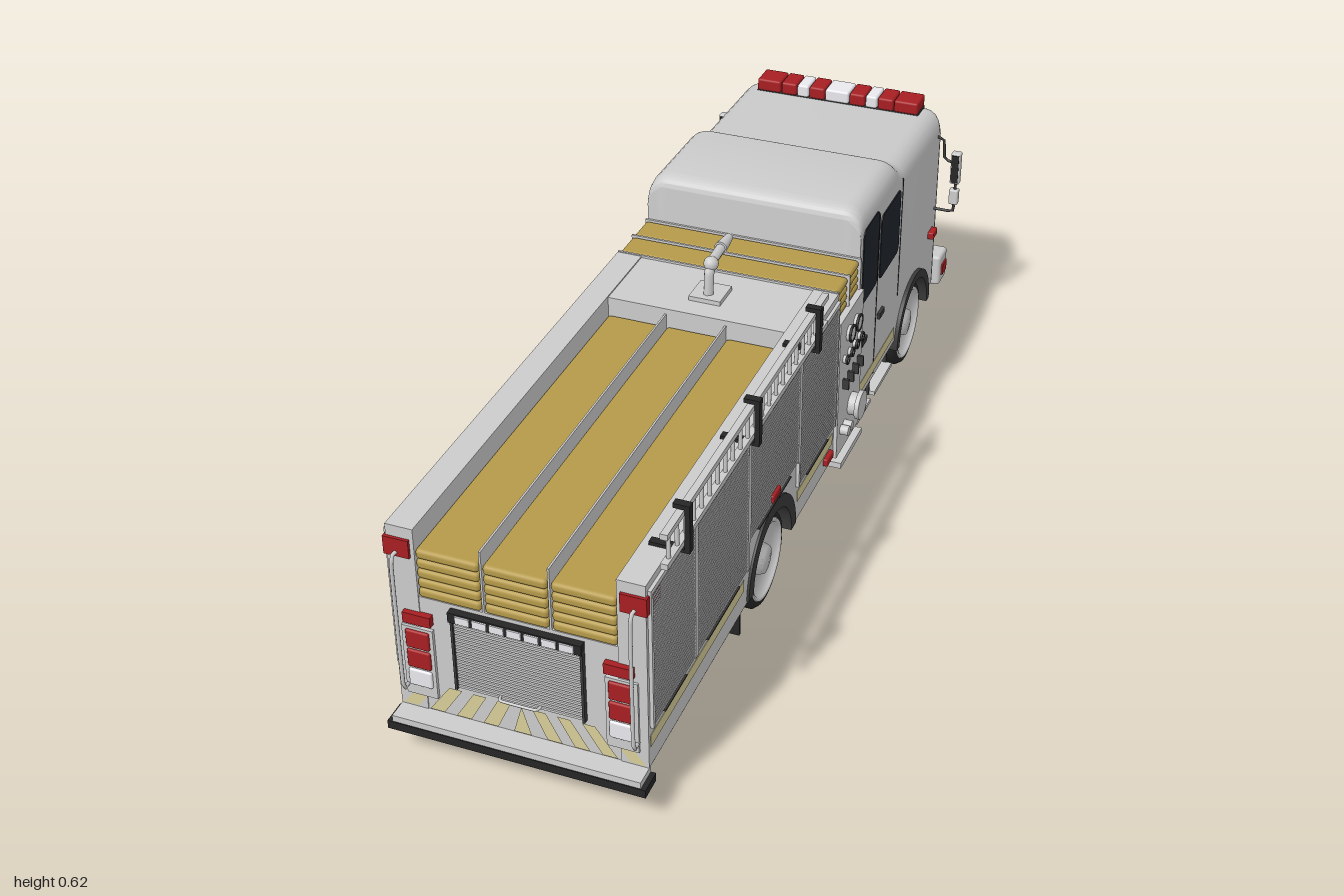
import * as THREE from 'three';
import { toCreasedNormals } from 'three/addons/utils/BufferGeometryUtils.js';
import { RoundedBoxGeometry } from 'three/addons/geometries/RoundedBoxGeometry.js';

const GREY = 0xcccccc, BLACK = 0x262626, DARK = 0x3a3a3a, GLASS = 0x20242a;
const RED = 0xa81e22, HOSE = 0xb59a4a, STRIPE = 0xd8cd98, WHITE = 0xe8e8ee;
const REAR_AXLE = 0.31, FRONT_AXLE = -0.69, AXLE_Y = 0.105;

export function createModel() {
  const root = new THREE.Group();
  const mats = {};
  const mat = (c, open) => (mats[c + !!open] ??= new THREE.MeshStandardMaterial({
    color: c, side: open ? THREE.DoubleSide : THREE.FrontSide }));
  const add = (name, geo, color, x = 0, y = 0, z = 0, open = false) => {
    const m = new THREE.Mesh(geo, mat(color, open));
    m.name = name;
    m.position.set(x, y, z);
    root.add(m);
    return m;
  };
  // Boxes are given by their limits on each axis, in either order
  const box = (name, c, xa, xb, ya, yb, za, zb, r = 0) => {
    const s = [Math.abs(xb - xa), Math.abs(yb - ya), Math.abs(zb - za)];
    const g = r ? new RoundedBoxGeometry(...s, 2, r) : new THREE.BoxGeometry(...s);
    return add(name, g, c, (xa + xb) / 2, (ya + yb) / 2, (za + zb) / 2);
  };
  const cyl = (name, c, axis, r, len, x, y, z, r2 = r) => {
    const g = new THREE.CylinderGeometry(r2, r, len, 20);
    if (axis === 'x') g.rotateZ(-Math.PI / 2);
    if (axis === 'z') g.rotateX(Math.PI / 2);
    return add(name, g, c, x, y, z);
  };
  const tube = (name, c, r, ...pts) => add(name, new THREE.TubeGeometry(new THREE.CatmullRomCurve3(
    pts.map(p => new THREE.Vector3(...p)), false, 'catmullrom', 0.2), 20, r, 8), c);
  const poly = pts => new THREE.Shape(pts.map(p => new THREE.Vector2(...p)));
  // Extrudes a (z, y) outline across the truck from x0 to x1
  const across = (shape, x0, x1, steps = 1) => new THREE.ExtrudeGeometry(shape,
    { depth: x1 - x0, bevelEnabled: false, steps, curveSegments: 24 })
    .rotateY(-Math.PI / 2).translate(x1, 0, 0);
  const roundRect = (a0, a1, y0, y1, r) => {
    const s = new THREE.Shape();
    s.absarc(a1 - r, y0 + r, r, -Math.PI / 2, 0);
    s.absarc(a1 - r, y1 - r, r, 0, Math.PI / 2);
    s.absarc(a0 + r, y1 - r, r, Math.PI / 2, Math.PI);
    s.absarc(a0 + r, y0 + r, r, Math.PI, Math.PI * 1.5);
    return s;
  };
  // Slatted roller door facing +z, bottom edge on its origin
  const shutter = (w, h) => {
    const n = Math.round(h / 0.0085), p = h / n, d = 0.004, pts = [[-0.004, 0]];
    for (let i = 0; i < n; i++) pts.push([0, i * p], [d, (i + 0.2) * p], [d, (i + 0.8) * p]);
    pts.push([0, h], [-0.004, h]);
    return across(poly(pts), -w / 2, w / 2);
  };

  // Cab: side outline across the width, with roof and front corners rounded by rule
  const cab = poly([[-0.25, 0.13], [-0.25, 0.595]]);
  cab.quadraticCurveTo(-0.25, 0.623, -0.285, 0.625);
  cab.lineTo(-0.49, 0.623);
  cab.bezierCurveTo(-0.53, 0.622, -0.535, 0.588, -0.58, 0.587);
  cab.lineTo(-0.86, 0.582);
  cab.quadraticCurveTo(-0.908, 0.58, -0.915, 0.545);
  cab.lineTo(-0.915, 0.12);
  cab.lineTo(-0.82, 0.12);
  cab.absarc(FRONT_AXLE, AXLE_Y, 0.13, Math.PI, 0, true);
  cab.lineTo(-0.56, 0.13);
  const H = 0.246, R = 0.045, cabGeo = across(cab, -1, 1, 12), p = cabGeo.attributes.position;
  for (let i = 0; i < p.count; i++) {
    const j = Math.round(Math.abs(p.getX(i)) * 6), a = Math.max(0, j - 1) / 5 * Math.PI / 2;
    const inset = R * (1 - Math.cos(a));
    p.setX(i, j ? Math.sign(p.getX(i)) * (H - R + R * Math.sin(a)) : 0);
    if (p.getZ(i) < -0.86) p.setZ(i, p.getZ(i) + inset * Math.min(1, (-0.86 - p.getZ(i)) / 0.045));
    if (p.getY(i) > 0.5) p.setY(i, p.getY(i) - inset * Math.min(1, (p.getY(i) - 0.5) / 0.06));
  }
  add('cab', toCreasedNormals(cabGeo, 0.6), GREY);
  const front = (name, c, x0, x1, y0, y1, r, z = -0.919) => add(name, new THREE.ExtrudeGeometry(
    roundRect(x0, x1, y0, y1, r), { depth: 0.008, bevelEnabled: false }), c, 0, 0, z);
  front('windscreen', GLASS, -0.205, 0.205, 0.38, 0.545, 0.02);
  front('grilleFrame', GREY, -0.125, 0.125, 0.19, 0.345, 0.012, -0.921);
  box('grille', BLACK, -0.11, 0.11, 0.2, 0.335, -0.923, -0.91);
  for (let i = 0; i < 9; i++) box('grilleBar', GREY, -0.11, 0.11, 0.205 + i * 0.0145, 0.213 + i * 0.0145, -0.927, -0.91);
  for (const x of [-0.055, 0, 0.055]) box('grillePost', GREY, x - 0.003, x + 0.003, 0.2, 0.335, -0.928, -0.91);

  // Roof light bar
  box('lightBarBase', DARK, -0.2, 0.2, 0.575, 0.587, -0.885, -0.83);
  let lx = -0.2;
  [[RED, 0.06], [RED, 0.04], [WHITE, 0.03], [RED, 0.04], [WHITE, 0.06], [RED, 0.04], [WHITE, 0.03], [RED, 0.04], [RED, 0.06]]
    .forEach(([c, w]) => { box('lightBarLens', c, lx + 0.001, lx + w - 0.001, 0.585, 0.614, -0.888, -0.826, 0.005); lx += w; });

  // Front bumper with intake, siren and tow hooks
  box('bumper', GREY, -0.25, 0.25, 0.075, 0.155, -1, -0.935, 0.008);
  box('bumperMount', DARK, -0.2, 0.2, 0.08, 0.14, -0.937, -0.82);
  cyl('frontIntakePost', GREY, 'y', 0.018, 0.05, 0.1, 0.17, -0.95);
  cyl('frontIntake', GREY, 'z', 0.028, 0.055, 0.1, 0.195, -0.945);
  cyl('frontIntakeCap', GREY, 'z', 0.033, 0.014, 0.1, 0.195, -0.968);
  for (const x of [-0.13, -0.17]) {
    box('siren', BLACK, x - 0.018, x + 0.018, 0.095, 0.135, -1.002, -0.99);
    add('sirenRing', new THREE.TorusGeometry(0.011, 0.002, 6, 16), GREY, x, 0.115, -1.001);
  }

  // Body: side walls and core share an outline with wheel arches
  const bodyShape = (z0, z1, top) => {
    const s = poly([[z0, 0.1], [z0, top], [z1, top], [z1, 0.1]]);
    s.lineTo(REAR_AXLE + 0.13, 0.1);
    s.absarc(REAR_AXLE, AXLE_Y, 0.13, 0, Math.PI, false);
    s.lineTo(REAR_AXLE - 0.13, 0.1);
    return s;
  };
  add('bodyCore', across(bodyShape(-0.09, 0.955, 0.365), -0.197, 0.197), GREY);
  box('deck', GREY, -0.197, 0.197, 0.36, 0.512, -0.09, 0.09);
  for (let i = 0; i < 3; i++) for (let j = 0; j < 5; j++) {
    const x = (i - 1) * 0.132, y = 0.365 + j * 0.0216;
    box('hoseBedHose', HOSE, x - 0.0625, x + 0.0625, y, y + 0.021, 0.09, 0.958, 0.008);
  }
  for (const x of [-0.066, 0.066]) box('hoseBedDivider', GREY, x - 0.002, x + 0.002, 0.365, 0.5, 0.09, 0.955);

  // Deck gun
  box('deckGunBase', GREY, -0.035, 0.035, 0.51, 0.522, -0.03, 0.04);
  tube('deckGunPipe', GREY, 0.011, [0, 0.52, 0.015], [0, 0.57, 0.01], [0, 0.588, -0.01], [0, 0.592, -0.06]);
  cyl('deckGunNozzle', GREY, 'z', 0.009, 0.05, 0, 0.593, -0.08, 0.014);
  add('deckGunJoint', new THREE.SphereGeometry(0.016, 16, 12), GREY, 0, 0.585, 0);

  // Pump house and cross-laid hoses
  box('pumpHouse', GREY, -0.258, 0.258, 0.1, 0.442, -0.249, -0.09);
  for (const z of [-0.249, -0.172, -0.095]) box('crosslayDivider', GREY, -0.25, 0.25, 0.44, 0.517, z, z + 0.005);
  for (let i = 0; i < 2; i++) for (let j = 0; j < 4; j++) {
    const z = -0.243 + i * 0.077, y = 0.442 + j * 0.0185;
    box('crosslayHose', HOSE, -0.247, 0.247, y, y + 0.018, z, z + 0.07, 0.008);
  }

  // Rear face: roller door, lights and striped panel
  add('rearShutter', shutter(0.25, 0.16), GREY, 0, 0.175, 0.957);
  for (const s of [-1, 1]) box('shutterRail', DARK, s * 0.125, s * 0.13, 0.175, 0.34, 0.95, 0.966);
  box('shutterHeader', BLACK, -0.132, 0.13, 0.335, 0.357, 0.95, 0.97);
  for (let i = 0; i < 7; i++) box('headerLight', WHITE, -0.116 + i * 0.034, -0.088 + i * 0.034, 0.338, 0.354, 0.96, 0.973);
  tube('shutterHandle', GREY, 0.003, [-0.04, 0.182, 0.96], [-0.035, 0.182, 0.972], [0.035, 0.182, 0.972], [0.04, 0.182, 0.96]);
  const chevron = (...pts) => add('rearStripe', new THREE.ShapeGeometry(poly(pts)), STRIPE, 0, 0, 0.9585, true);
  chevron([-0.018, 0.104], [0.018, 0.104], [0, 0.167]);
  for (const s of [-1, 1]) for (let i = 0; i < 4; i++) {
    const b = 0.05 + i * 0.055, t = 0.022 + i * 0.049;
    chevron([s * b, 0.104], [s * Math.min(b + 0.03, 0.246), 0.104], [s * (t + 0.026), 0.167], [s * t, 0.167]);
  }
  box('rearStep', GREY, -0.25, 0.25, 0.086, 0.1, 0.95, 0.998);
  box('rearStepEdge', BLACK, -0.26, 0.26, 0.068, 0.086, 0.95, 1);

  // Underside
  box('rearUnderPlate', DARK, -0.245, 0.245, 0.088, 0.1, 0.45, 0.955);
  box('midUnderPlate', DARK, -0.24, 0.24, 0.088, 0.101, -0.25, 0.17);
  box('cabUnderPlate', DARK, -0.235, 0.235, 0.11, 0.131, -0.56, -0.25);
  box('chassis', DARK, -0.11, 0.11, 0.09, 0.22, -0.88, 0.5);
  for (const z of [REAR_AXLE, FRONT_AXLE]) cyl('axle', BLACK, 'x', 0.02, 0.36, 0, AXLE_Y, z);

  const tyre = w => new THREE.LatheGeometry([[0.07, -w], [0.098, -w], [0.105, -w * 0.7], [0.105, w * 0.7], [0.098, w], [0.086, w]]
    .map(q => new THREE.Vector2(...q)), 40).rotateZ(-Math.PI / 2);
  const rim = new THREE.LatheGeometry([[0.089, 0], [0.087, 0.004], [0.08, 0.002], [0.074, -0.012], [0.035, -0.014], [0.03, 0.002], [0, 0.003]]
    .map(q => new THREE.Vector2(...q)), 40).rotateZ(-Math.PI / 2);

  for (const s of [-1, 1]) {
    const sb = (name, c, xa, xb, ...rest) => box(name, c, s * xa, s * xb, ...rest);
    const wall = across(bodyShape(-0.09, 0.957, 0.515), s > 0 ? 0.195 : -0.25, s > 0 ? 0.25 : -0.195);
    add('bodySide', wall, GREY);

    // Wheels, doubled at the rear, with arches
    for (const [z, xs, w] of [[REAR_AXLE, [0.148, 0.212], 0.028], [FRONT_AXLE, [0.2], 0.04]]) {
      for (const x of xs) add('tyre', tyre(w), BLACK, s * x, AXLE_Y, z, true).rotation.y = s > 0 ? 0 : Math.PI;
      add('wheelRim', rim, GREY, s * 0.239, AXLE_Y, z, true).rotation.y = s > 0 ? 0 : Math.PI;
      const ring = new THREE.Shape(), r = z > 0 ? 0.142 : 0.134;
      ring.absarc(z, AXLE_Y, r, 0, Math.PI, false);
      ring.absarc(z, AXLE_Y, 0.113, Math.PI, 0, true);
      add('wheelArch', across(ring, s > 0 ? 0.2 : -0.255, s > 0 ? 0.255 : -0.2), DARK);
      add('archLiner', new THREE.CylinderGeometry(0.128, 0.128, 0.14, 24, 1, true, 0, Math.PI)
        .rotateZ(Math.PI / 2), DARK, s * 0.17, AXLE_Y, z, true);
    }
    sb('mudFlap', BLACK, 0.12, 0.242, 0.03, 0.1, 0.465, 0.471);
    sb('underTank', BLACK, 0.13, 0.2, 0.07, 0.09, 0.5, 0.88);
    sb('underTank', BLACK, 0.12, 0.22, 0.078, 0.09, -0.1, 0.08);

    // Compartment roller doors
    for (const [z0, z1, y0] of [[0.74, 0.945, 0.19], [0.462, 0.732, 0.19], [0.165, 0.454, 0.255], [-0.08, 0.157, 0.19]]) {
      add('sideShutter', shutter(z1 - z0, 0.49 - y0), GREY, s * 0.251, y0, (z0 + z1) / 2).rotation.y = s * Math.PI / 2;
      for (const z of [z0, z1]) sb('shutterFrame', GREY, 0.245, 0.257, y0, 0.495, z - 0.004, z + 0.004);
      sb('shutterSill', DARK, 0.25, 0.258, y0 - 0.004, y0, z0 + 0.05, z1 - 0.05);
    }
    sb('topTrim', GREY, 0.245, 0.257, 0.49, 0.5, -0.088, 0.95);
    for (const [z0, z1, x] of [[0.47, 0.95, 0.25], [-0.08, 0.15, 0.25], [-0.55, -0.26, 0.246]])
      sb('sideStripe', STRIPE, x - 0.005, x + 0.001, 0.145, 0.172, z0, z1);
    for (const [z, y, w] of [[0.305, 0.27, 0.022], [-0.045, 0.13, 0.022], [-0.83, 0.28, 0.018]])
      sb('sideMarker', RED, 0.24, 0.26, y - 0.009, y + 0.009, z - w, z + w, 0.003);
    sb('cornerLight', RED, 0.203, 0.254, 0.452, 0.491, 0.9, 0.963);

    // Rear light clusters and grab rails
    sb('warningLight', RED, 0.17, 0.226, 0.307, 0.33, 0.95, 0.968);
    sb('lightPanel', GREY, 0.17, 0.233, 0.135, 0.295, 0.95, 0.962);
    [[0.248, 0.289, RED], [0.202, 0.243, RED], [0.159, 0.197, WHITE]].forEach(([a, b, c]) =>
      sb('tailLight', c, 0.177, 0.225, a, b, 0.955, 0.967, 0.004));
    tube('grabRail', GREY, 0.004, [s * 0.23, 0.157, 0.957], [s * 0.23, 0.165, 0.98], [s * 0.23, 0.45, 0.98], [s * 0.23, 0.46, 0.957]);

    // Pump panel gauges, levers, valves and step
    const dial = (r, y, z) => {
      cyl('gauge', GREY, 'x', r, 0.012, s * 0.262, y, z);
      add('gaugeRing', new THREE.TorusGeometry(r, 0.003, 6, 20).rotateY(Math.PI / 2), BLACK, s * 0.267, y, z);
    };
    for (const z of [-0.148, -0.196]) dial(0.018, 0.39, z);
    for (let i = 0; i < 4; i++) {
      dial(0.009, 0.34, -0.12 - i * 0.034);
      sb('valveLever', DARK, 0.258, 0.272, 0.265, 0.29, -0.117 - i * 0.034, -0.123 - i * 0.034);
    }
    cyl('intake', GREY, 'x', 0.026, 0.03, s * 0.27, 0.188, -0.185);
    cyl('intakeCap', GREY, 'x', 0.033, 0.01, s * 0.28, 0.188, -0.185);
    for (const [y, z] of [[0.16, -0.118], [0.16, -0.14], [0.15, -0.23]]) cyl('outlet', GREY, 'x', 0.011, 0.02, s * 0.267, y, z);
    sb('pumpStep', GREY, 0.2, 0.268, 0.072, 0.086, -0.245, -0.095);

    // Cab windows, doors, steps and mirrors
    const side = (name, c, shape) => add(name, across(shape, s > 0 ? 0.243 : -0.2485, s > 0 ? 0.2485 : -0.243), c);
    side('rearWindow', GLASS, roundRect(-0.38, -0.27, 0.385, 0.57, 0.015));
    side('frontWindow', GLASS, roundRect(-0.545, -0.4, 0.38, 0.54, 0.015));
    for (const [z, y0] of [[-0.39, 0.14], [-0.565, 0.25]]) sb('doorSeam', BLACK, 0.244, 0.247, y0, 0.555, z - 0.0012, z + 0.0012);
    for (const z of [-0.29, -0.42]) sb('doorHandle', DARK, 0.245, 0.253, 0.278, 0.292, z - 0.018, z + 0.018);
    for (const [z0, z1] of [[-0.375, -0.275], [-0.54, -0.405]]) {
      sb('cabStep', GREY, 0.17, 0.248, 0.07, 0.08, z0, z1);
      for (const z of [z0, z1]) sb('stepHanger', DARK, 0.18, 0.235, 0.07, 0.13, z - 0.003, z + 0.003);
    }
    sb('mirror', GREY, 0.282, 0.305, 0.412, 0.493, -0.865, -0.845, 0.004);
    sb('lowerMirror', GREY, 0.282, 0.304, 0.357, 0.396, -0.865, -0.845, 0.004);
    for (const f of [-0.866, -0.844]) sb('mirrorGlass', BLACK, 0.285, 0.302, 0.417, 0.488, f - 0.001, f + 0.001);
    tube('mirrorArm', DARK, 0.0035, [s * 0.235, 0.335, -0.855], [s * 0.29, 0.335, -0.855], [s * 0.294, 0.35, -0.855],
      [s * 0.294, 0.46, -0.855], [s * 0.265, 0.47, -0.855], [s * 0.26, 0.52, -0.855], [s * 0.235, 0.53, -0.85]);

    // Headlights and bumper ends
    sb('headlightBezel', GREY, 0.13, 0.215, 0.225, 0.29, -0.923, -0.88, 0.004);
    for (const x of [0.152, 0.193]) sb('headlight', WHITE, x - 0.017, x + 0.017, 0.235, 0.28, -0.928, -0.9, 0.005);
    sb('frontWarningLight', RED, 0.135, 0.205, 0.305, 0.328, -0.923, -0.9, 0.004);
    sb('bumperLight', RED, 0.208, 0.24, 0.1, 0.13, -1.0, -0.99);
    sb('bumperSideLight', RED, 0.245, 0.254, 0.1, 0.128, -0.985, -0.95);
    sb('towHook', BLACK, 0.05, 0.07, 0.055, 0.078, -0.98, -0.95);
  }

  // Ladder stowed on edge along one side
  for (const y of [0.535, 0.598]) box('ladderRail', GREY, 0.262, 0.276, y - 0.006, y + 0.006, 0.06, 0.92);
  for (let i = 0; i < 22; i++) cyl('ladderRung', GREY, 'y', 0.004, 0.06, 0.269, 0.566, 0.08 + i * 0.039);
  for (const z of [0.14, 0.49, 0.84]) {
    box('ladderArm', BLACK, 0.21, 0.288, 0.516, 0.523, z - 0.008, z + 0.008);
    box('ladderBracket', BLACK, 0.278, 0.288, 0.516, 0.617, z - 0.008, z + 0.008);
    box('ladderHook', BLACK, 0.256, 0.288, 0.608, 0.617, z - 0.008, z + 0.008);
  }
  return root;
}
